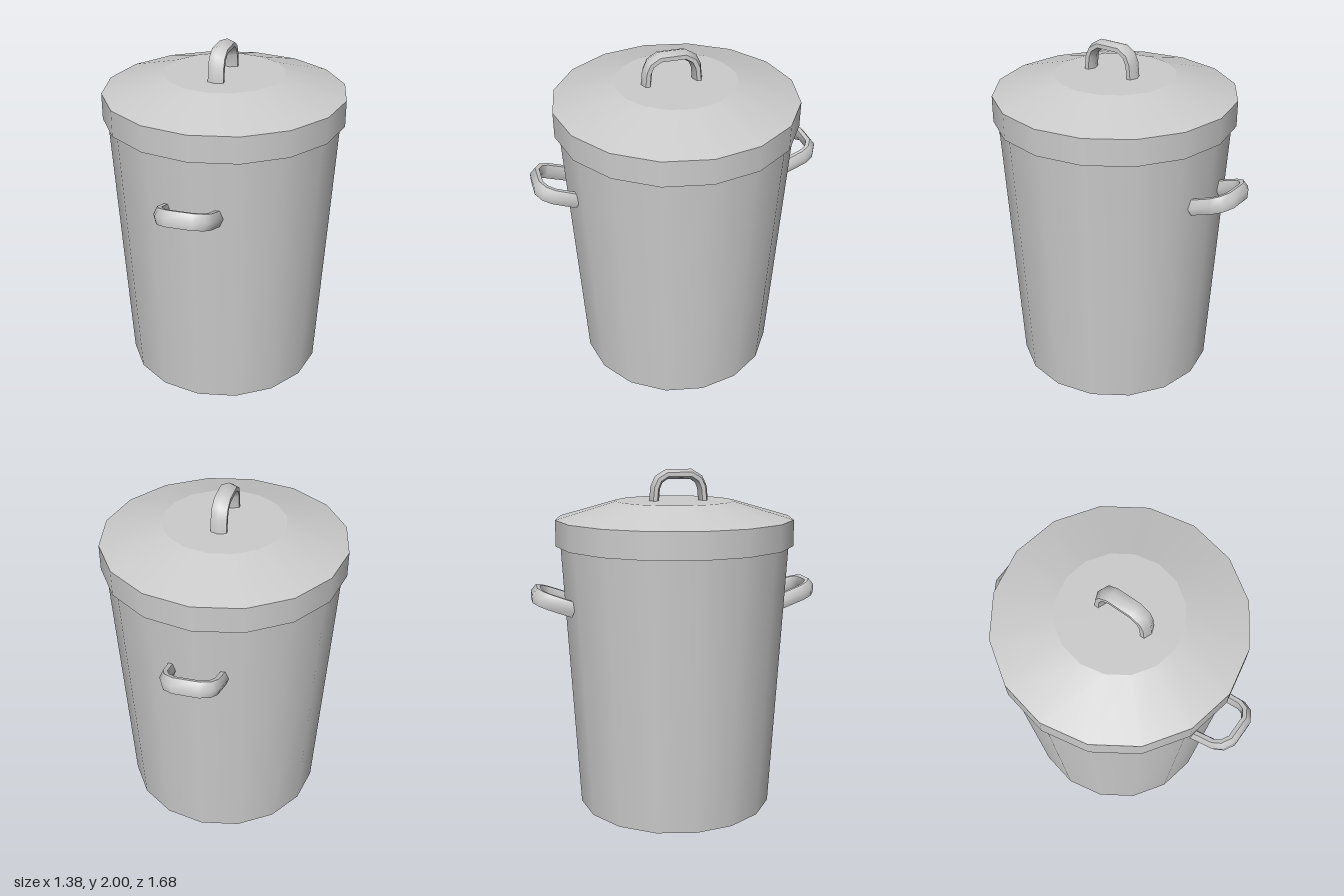
import * as THREE from 'three';
import { toCreasedNormals } from 'three/addons/utils/BufferGeometryUtils.js';

const SIDES = 16;
const material = new THREE.MeshStandardMaterial({ color: 0xcccccc });

function addMesh(parent, name, geometry, y = 0, rotX = 0, mat = material) {
  const mesh = new THREE.Mesh(geometry, mat);
  mesh.name = name;
  mesh.position.y = y;
  mesh.rotation.x = rotX;
  parent.add(mesh);
  return mesh;
}

// Open ring wall with SIDES facets between two heights
function addWall(parent, name, rBottom, rTop, y0, y1) {
  const wall = new THREE.CylinderGeometry(rTop, rBottom, y1 - y0, SIDES, 1, true);
  return addMesh(parent, name, wall, (y0 + y1) / 2);
}

// Arched grip in the xy plane: flattened six-sided section swept along the arch
function handleGeometry(extraLeg) {
  const half = [[0.145, 0], [0.138, 0.075 + extraLeg], [0.118, 0.12 + extraLeg], [0.07, 0.15 + extraLeg]];
  const path = [...half, ...half.slice().reverse().map(([u, v]) => [-u, v])];
  const section = [[0.029, 0], [0.012, 0.044], [-0.012, 0.044], [-0.029, 0], [-0.012, -0.044], [0.012, -0.044]];
  const n = section.length;
  const positions = [], index = [];
  path.forEach(([u, v], i) => {
    const a = path[Math.max(i - 1, 0)], b = path[Math.min(i + 1, path.length - 1)];
    const t = new THREE.Vector2(b[0] - a[0], b[1] - a[1]).normalize();
    // feet stay flat on the surface they stand on
    if (i === 0) t.set(0, 1);
    if (i === path.length - 1) t.set(0, -1);
    for (const [out, side] of section) positions.push(u + t.y * out, v - t.x * out, side);
    if (i === 0) return;
    for (let j = 0; j < n; j++) {
      const k = (j + 1) % n, p = (i - 1) * n, q = i * n;
      index.push(p + j, q + j, q + k, p + j, q + k, p + k);
    }
  });
  // end caps
  const last = (path.length - 1) * n;
  for (let j = 1; j < n - 1; j++) {
    index.push(0, j, j + 1, last, last + j + 1, last + j);
  }
  const geometry = new THREE.BufferGeometry();
  geometry.setAttribute('position', new THREE.Float32BufferAttribute(positions, 3));
  geometry.setIndex(index);
  return toCreasedNormals(geometry, 1.0);
}

export function createModel() {
  const model = new THREE.Group();
  model.name = 'bin';

  // Tapered body with closed base
  const body = new THREE.Group();
  body.name = 'body';
  addWall(body, 'bodyWall', 0.58, 0.665, 0, 1.57);
  addMesh(body, 'base', new THREE.CircleGeometry(0.58, SIDES), 0, Math.PI / 2);
  model.add(body);

  // Lid: skirt, sloped shoulder, flat centre and underside rim
  const lid = new THREE.Group();
  lid.name = 'lid';
  addWall(lid, 'lidSkirt', 0.692, 0.692, 1.57, 1.72);
  addWall(lid, 'lidSlope', 0.692, 0.345, 1.72, 1.82);
  addMesh(lid, 'lidTop', new THREE.CircleGeometry(0.345, SIDES), 1.82, -Math.PI / 2);
  addMesh(lid, 'lidRim', new THREE.RingGeometry(0.665, 0.692, SIDES), 1.57, Math.PI / 2);
  model.add(lid);

  // Lid handle, running front to back
  const lidHandle = addMesh(lid, 'lidHandle', handleGeometry(0), 1.82);
  lidHandle.position.z = 0.025;
  lidHandle.rotation.y = Math.PI / 2;

  // Carrying handles on the front and back, tilted upward
  const tilt = THREE.MathUtils.degToRad(70);
  const carry = handleGeometry(0.065);
  for (const [name, s] of [['frontHandle', 1], ['backHandle', -1]]) {
    const handle = addMesh(model, name, carry, 1.227, s * tilt);
    handle.position.x = -0.005;
    handle.position.z = s * 0.61;
  }

  return model;
}
